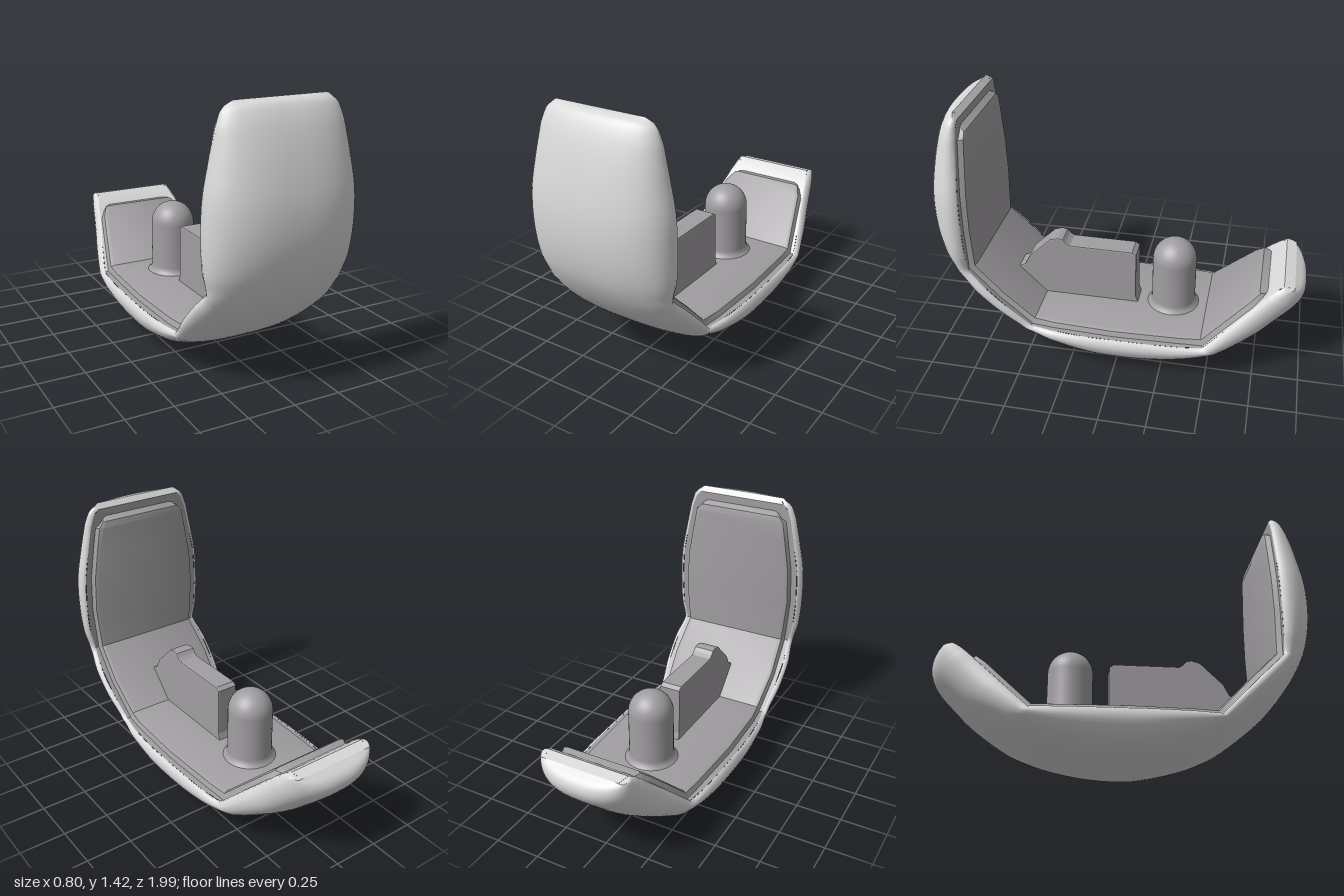
import * as THREE from 'three';
import { toCreasedNormals } from 'three/addons/utils/BufferGeometryUtils.js';

const shellMat = new THREE.MeshStandardMaterial({ color: 0xd9d9d9 });
shellMat.name = 'light grey shell';
const innerMat = new THREE.MeshStandardMaterial({ color: 0xa19ea1 });
innerMat.name = 'mid grey lining';

// Stations along the shell: inner z, inner y, outer z, outer y, half width
const STATIONS = [
  [0.815, 1.42, 0.815, 1.42, 0.25],
  [0.79, 1.39, 0.85, 1.415, 0.285],
  [0.79, 1.36, 0.885, 1.39, 0.312],
  [0.79, 1.30, 0.925, 1.31, 0.335],
  [0.79, 1.18, 0.965, 1.17, 0.36],
  [0.79, 1.00, 0.997, 0.98, 0.393],
  [0.79, 0.82, 0.995, 0.80, 0.40],
  [0.79, 0.66, 0.96, 0.64, 0.392],
  [0.79, 0.55, 0.895, 0.51, 0.368],
  [0.70, 0.46, 0.80, 0.385, 0.385],
  [0.58, 0.34, 0.68, 0.275, 0.382],
  [0.46, 0.22, 0.53, 0.165, 0.362],
  [0.34, 0.22, 0.36, 0.08, 0.385],
  [0.15, 0.22, 0.15, 0.02, 0.40],
  [0.00, 0.22, 0.00, 0.002, 0.40],
  [-0.20, 0.22, -0.20, 0.015, 0.397],
  [-0.36, 0.22, -0.40, 0.06, 0.388],
  [-0.48, 0.22, -0.60, 0.14, 0.37],
  [-0.60, 0.34, -0.77, 0.245, 0.335],
  [-0.70, 0.44, -0.88, 0.345, 0.30],
  [-0.79, 0.53, -0.96, 0.43, 0.275],
  [-0.83, 0.565, -0.988, 0.49, 0.262],
  [-0.87, 0.59, -0.975, 0.54, 0.25],
  [-0.925, 0.577, -0.925, 0.577, 0.23],
];
const BACK = 17; // station where the back panel begins

// Surface through rows of [x, y, z] points
function loft(rows) {
  const n = rows[0].length, index = [];
  for (let i = 0; i < rows.length - 1; i++) {
    for (let j = 0; j < n - 1; j++) {
      const a = i * n + j, b = a + n;
      index.push(a, a + 1, b, a + 1, b + 1, b);
    }
  }
  const g = new THREE.BufferGeometry();
  g.setAttribute('position', new THREE.Float32BufferAttribute(rows.flat(2), 3));
  g.setIndex(index);
  g.computeVertexNormals();
  return g;
}

function add(group, name, geometry, material) {
  const m = new THREE.Mesh(geometry, material);
  m.name = name;
  group.add(m);
  return m;
}

// Outer shell: superelliptic cross-sections with a rounded rim
function shellGeometry() {
  const outer = new THREE.CatmullRomCurve3(
    STATIONS.map(s => new THREE.Vector3(s[4], s[3], s[2])), false, 'catmullrom', 0.5);
  const SUB = 4, spans = STATIONS.length - 1, rows = [];
  for (let k = 0; k <= spans * SUB; k++) {
    const i = Math.min(Math.floor(k / SUB), spans - 1), f = k / SUB - i;
    const p = outer.getPoint(k / (spans * SUB));
    const iz = THREE.MathUtils.lerp(STATIONS[i][0], STATIONS[i + 1][0], f);
    const iy = THREE.MathUtils.lerp(STATIONS[i][1], STATIONS[i + 1][1], f);
    const w = p.x, section = [[w - 0.025, 0], [w - 0.009, 0.03]];
    const N = 28;
    for (let j = 0; j <= N; j++) {
      const a = 0.12 + (Math.PI - 0.24) * j / N, c = Math.cos(a);
      section.push([w * Math.sign(c) * Math.abs(c) ** 0.8, Math.sin(a) ** 0.8]);
    }
    section.push([-w + 0.009, 0.03], [-w + 0.025, 0]);
    rows.push(section.map(([x, d]) => [x, iy + (p.y - iy) * d, iz + (p.z - iz) * d]));
  }
  return loft(rows);
}

// Flat faces lining the inside of the shell
function liningGeometry(list) {
  const rows = list.map(([z, y, , , w]) => [[-w + 0.025, y, z], [w - 0.025, y, z]]);
  return toCreasedNormals(loft(rows), 0.5);
}

// Raised pad following the inside: z, y, half width
function padGeometry() {
  const path = [
    [0.795, 1.35, 0.215], [0.76, 1.325, 0.235], [0.755, 1.29, 0.262],
    [0.755, 1.18, 0.282], [0.755, 1.0, 0.312],
    [0.755, 0.8, 0.32], [0.755, 0.565, 0.30], [0.60, 0.41, 0.312], [0.445, 0.255, 0.295],
    [0.34, 0.255, 0.312], [0, 0.255, 0.325], [-0.36, 0.255, 0.312], [-0.465, 0.255, 0.302],
    [-0.70, 0.49, 0.24], [-0.75, 0.535, 0.21], [-0.795, 0.53, 0.19],
  ];
  const rows = path.map(([z, y, w], i) => {
    const a = path[Math.max(i - 1, 0)], b = path[Math.min(i + 1, path.length - 1)];
    const dz = b[0] - a[0], dy = b[1] - a[1], len = Math.hypot(dz, dy);
    const nz = dy / len, ny = -dz / len;
    const point = (x, h) => [x, y + ny * h, z + nz * h];
    return [point(-w - 0.025, -0.045), point(-w - 0.01, -0.008), point(-w + 0.01, 0),
      point(w - 0.01, 0), point(w + 0.01, -0.008), point(w + 0.025, -0.045)];
  });
  return toCreasedNormals(loft(rows), 0.55);
}

// Upright fin, drawn in (z, y) and extruded across x
function finGeometry() {
  const pts = [[-0.08, 0.24], [-0.063, 0.29], [-0.063, 0.562], [-0.045, 0.575], [0.305, 0.575],
    [0.33, 0.592], [0.345, 0.61], [0.37, 0.615], [0.41, 0.603], [0.53, 0.485],
    [0.56, 0.425], [0.595, 0.405], [0.60, 0.38], [0.45, 0.23]];
  const shape = new THREE.Shape(pts.map(([z, y]) => new THREE.Vector2(-z, y)));
  const g = new THREE.ExtrudeGeometry(shape, {
    depth: 0.106, bevelEnabled: true, bevelSize: 0.007, bevelThickness: 0.007, bevelSegments: 2,
  });
  g.translate(0, 0, -0.053);
  g.rotateY(Math.PI / 2);
  return g;
}

// Round-topped peg with a small flare at the foot
function pegGeometry() {
  const profile = [[0.15, 0.25], [0.13, 0.265], [0.12, 0.29]];
  for (let i = 0; i <= 12; i++) {
    const a = i / 12 * Math.PI / 2;
    profile.push([Math.max(0.12 * Math.cos(a), 0), 0.54 + 0.12 * Math.sin(a)]);
  }
  return new THREE.LatheGeometry(profile.map(p => new THREE.Vector2(...p)), 40);
}

export function createModel() {
  const group = new THREE.Group();
  group.name = 'curvedShell';
  add(group, 'outerShell', shellGeometry(), shellMat);
  add(group, 'innerLining', liningGeometry(STATIONS.slice(1, BACK + 1)), innerMat);
  add(group, 'frontLip', liningGeometry(STATIONS.slice(0, 2)), shellMat);
  add(group, 'backRim', liningGeometry(STATIONS.slice(BACK)), shellMat);
  add(group, 'raisedPad', padGeometry(), innerMat);
  add(group, 'fin', finGeometry(), innerMat);
  add(group, 'peg', pegGeometry(), innerMat).position.set(0, 0, -0.275);
  return group;
}
